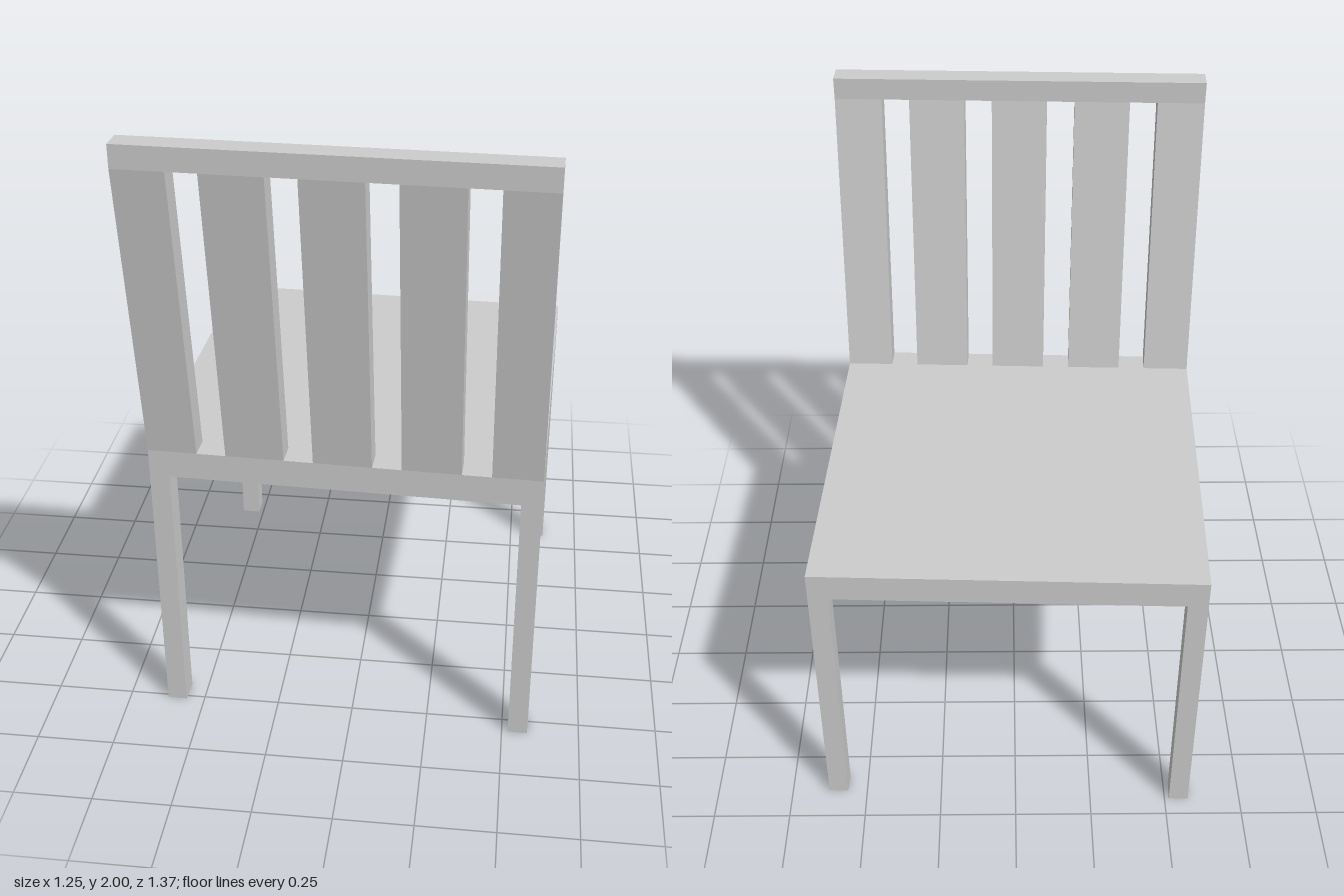
import * as THREE from 'three';

const material = new THREE.MeshStandardMaterial({ color: 0xcccccc, flatShading: true });

const WIDTH = 1.206, HALF = WIDTH / 2;
const SEAT_FRONT = -0.667, SEAT_BACK = 0.535, SEAT_BOTTOM = 0.885, SEAT_TOP = 0.975;
const RAIL_BOTTOM = 1.93, TOP = 2, LEAN = 0.128, THICK = 0.074;

function addMesh(group, name, geometry) {
  const mesh = new THREE.Mesh(geometry, material);
  mesh.name = name;
  group.add(mesh);
}

// Box given by its extents
function box(x0, x1, y0, y1, z0, z1) {
  return new THREE.BoxGeometry(x1 - x0, y1 - y0, z1 - z0)
    .translate((x0 + x1) / 2, (y0 + y1) / 2, (z0 + z1) / 2);
}

// Side profile of [z, y] points, extruded from x0 to x1
function sideExtrude(points, x0, x1) {
  const shape = new THREE.Shape(points.map(([z, y]) => new THREE.Vector2(z, y)));
  return new THREE.ExtrudeGeometry(shape, { depth: x1 - x0, bevelEnabled: false })
    .rotateY(-Math.PI / 2).translate(x1, 0, 0);
}

export function createModel() {
  const chair = new THREE.Group();
  chair.name = 'chair';

  addMesh(chair, 'seat', box(-HALF, HALF, SEAT_BOTTOM, SEAT_TOP, SEAT_FRONT, SEAT_BACK));

  // Four legs flush with the seat corners
  const legWidth = 0.063;
  for (const side of [-1, 1]) {
    const x0 = side < 0 ? -HALF : HALF - legWidth;
    const label = side < 0 ? 'Right' : 'Left';
    addMesh(chair, 'frontLeg' + label,
      box(x0, x0 + legWidth, 0, SEAT_BOTTOM, SEAT_FRONT, SEAT_FRONT + 0.064));
    addMesh(chair, 'backLeg' + label,
      box(x0, x0 + legWidth, 0, SEAT_BOTTOM, SEAT_BACK - THICK, SEAT_BACK));
  }

  // Leaning slats between the seat and the top rail
  const slatProfile = [
    [SEAT_BACK - THICK, SEAT_TOP], [SEAT_BACK, SEAT_TOP],
    [SEAT_BACK + LEAN, RAIL_BOTTOM], [SEAT_BACK + LEAN - THICK, RAIL_BOTTOM],
  ];
  const slats = [[-HALF, -0.45], [-0.36, -0.18], [-0.09, 0.09], [0.18, 0.36], [0.45, HALF]];
  for (const [x0, x1] of slats) addMesh(chair, 'backSlat', sideExtrude(slatProfile, x0, x1));

  // Upright top rail
  addMesh(chair, 'topRail',
    box(-HALF, HALF, RAIL_BOTTOM, TOP, SEAT_BACK + LEAN - THICK, SEAT_BACK + LEAN));

  // The whole chair is turned slightly about the vertical
  chair.rotation.y = -0.0373;
  const model = new THREE.Group();
  model.name = 'model';
  model.add(chair);
  return model;
}
